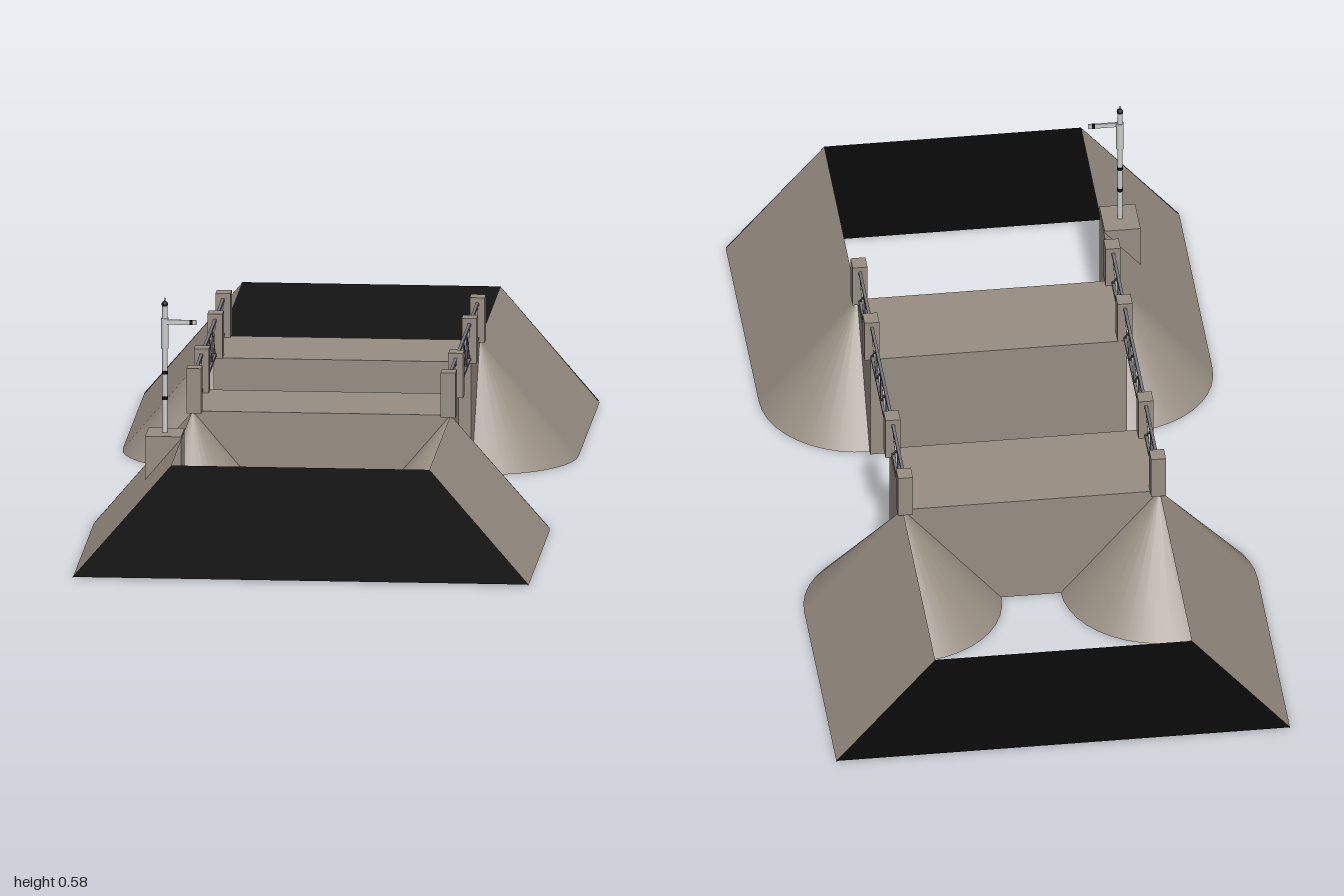
import * as THREE from 'three';

const H = 0.265;      // embankment height
const IN = 0.293;     // half width at the top
const OUT = 0.518;    // half width at the foot
const RAIL_LOW = 0.272, RAIL_HIGH = 0.352;

function material(name, color, side = THREE.FrontSide) {
  const m = new THREE.MeshStandardMaterial({ color, side });
  m.name = name;
  return m;
}

// Flat four-cornered sheet
function sheet(a, b, c, d) {
  const g = new THREE.BufferGeometry();
  g.setAttribute('position', new THREE.Float32BufferAttribute([...a, ...b, ...c, ...d], 3));
  g.setIndex([0, 1, 2, 0, 2, 3]);
  g.computeVertexNormals();
  return g;
}

export function createModel() {
  const stone = material('stone', 0x978d82);
  const earth = material('earth', 0x978d82, THREE.DoubleSide);
  const black = material('black', 0x0a0a0a, THREE.DoubleSide);
  const steel = material('steel', 0x77757a);
  const white = material('pale paint', 0xcccccc);

  const model = new THREE.Group();
  model.name = 'bridge';

  function add(parent, name, geometry, mat, x = 0, y = 0, z = 0) {
    const mesh = new THREE.Mesh(geometry, mat);
    mesh.name = name;
    mesh.position.set(x, y, z);
    parent.add(mesh);
    return mesh;
  }

  // Two banks: end plate, abutment, sloping sides and conical corners
  const banks = [
    { s: 1, inner: 0.17, outer: 0.405 },
    { s: -1, inner: 0.175, outer: 0.415 },
  ];
  for (const { s, inner, outer } of banks) {
    const bank = new THREE.Group();
    bank.name = s > 0 ? 'frontBank' : 'backBank';
    model.add(bank);
    add(bank, 'abutment', new THREE.BoxGeometry(IN * 2, H, outer - inner), stone,
      0, H / 2, s * (inner + outer) / 2);
    add(bank, 'endPlate', sheet([-OUT * s, 0.003, s], [OUT * s, 0.003, s],
      [IN * s, H, s], [-IN * s, H, s]), black);
    for (const x of [-1, 1]) {
      const corners = [[x * OUT, 0, s * outer], [x * IN, H, s * outer],
        [x * IN, H, s], [x * OUT, 0, s]];
      if (x * s < 0) corners.reverse();
      add(bank, 'slope', sheet(...corners), earth);
      add(bank, 'cornerCone', new THREE.ConeGeometry(OUT - IN, H, 40), stone,
        x * IN, H / 2, s * outer);
    }
  }

  // Parapets: stone posts with a braced steel lattice between them
  const postZ = [-0.415, -0.19, 0.19, 0.405];
  const panels = [2, 4, 2];
  for (const side of [-1, 1]) {
    const parapet = new THREE.Group();
    parapet.name = side > 0 ? 'leftParapet' : 'rightParapet';
    parapet.position.x = side * 0.289;
    model.add(parapet);

    const bar = (name, z0, y0, z1, y1, t) => {
      const length = Math.hypot(z1 - z0, y1 - y0);
      const b = add(parapet, name, new THREE.BoxGeometry(t, t, length), steel,
        0, (y0 + y1) / 2, (z0 + z1) / 2);
      b.rotation.x = -Math.atan2(y1 - y0, z1 - z0);
    };
    for (const z of postZ) {
      add(parapet, 'post', new THREE.BoxGeometry(0.034, 0.104, 0.038), stone, 0, 0.315, z);
    }
    panels.forEach((count, i) => {
      const start = postZ[i] + 0.019, end = postZ[i + 1] - 0.019;
      const step = (end - start) / count;
      bar('bottomRail', start, RAIL_LOW, end, RAIL_LOW, 0.007);
      bar('topRail', start, RAIL_HIGH, end, RAIL_HIGH, 0.007);
      for (let p = 0; p < count; p++) {
        const a = start + p * step, b = a + step;
        bar('brace', a, RAIL_LOW, b, RAIL_HIGH, 0.004);
        bar('brace', a, RAIL_HIGH, b, RAIL_LOW, 0.004);
        if (p > 0) bar('upright', a, RAIL_LOW, a, RAIL_HIGH, 0.005);
      }
    });
  }

  // Signal mast on its footing
  const signal = new THREE.Group();
  signal.name = 'signal';
  signal.position.set(-0.337, 0, 0.643);
  model.add(signal);
  const tube = (name, r, y0, y1, mat, rTop = r) =>
    add(signal, name, new THREE.CylinderGeometry(rTop, r, y1 - y0, 12), mat, 0, (y0 + y1) / 2, 0);
  add(signal, 'footing', new THREE.BoxGeometry(0.082, H + 0.001, 0.096), stone, 0, H / 2, 0);
  tube('mast', 0.006, H, 0.46, white);
  tube('upperMast', 0.0085, 0.46, 0.53, white);
  tube('mastTop', 0.006, 0.53, 0.558, white);
  tube('lowerBand', 0.0068, 0.341, 0.349, black);
  tube('upperBand', 0.0068, 0.4, 0.408, black);
  add(signal, 'cap', new THREE.SphereGeometry(0.0075, 12, 8), black, 0, 0.562, 0);
  tube('finial', 0.002, 0.566, 0.577, black, 0.0008);
  add(signal, 'arm', new THREE.BoxGeometry(0.072, 0.011, 0.004), white, 0.036, 0.522, 0.006);
  add(signal, 'armStripe', new THREE.BoxGeometry(0.007, 0.0112, 0.0052), black, 0.06, 0.522, 0.006);

  return model;
}
